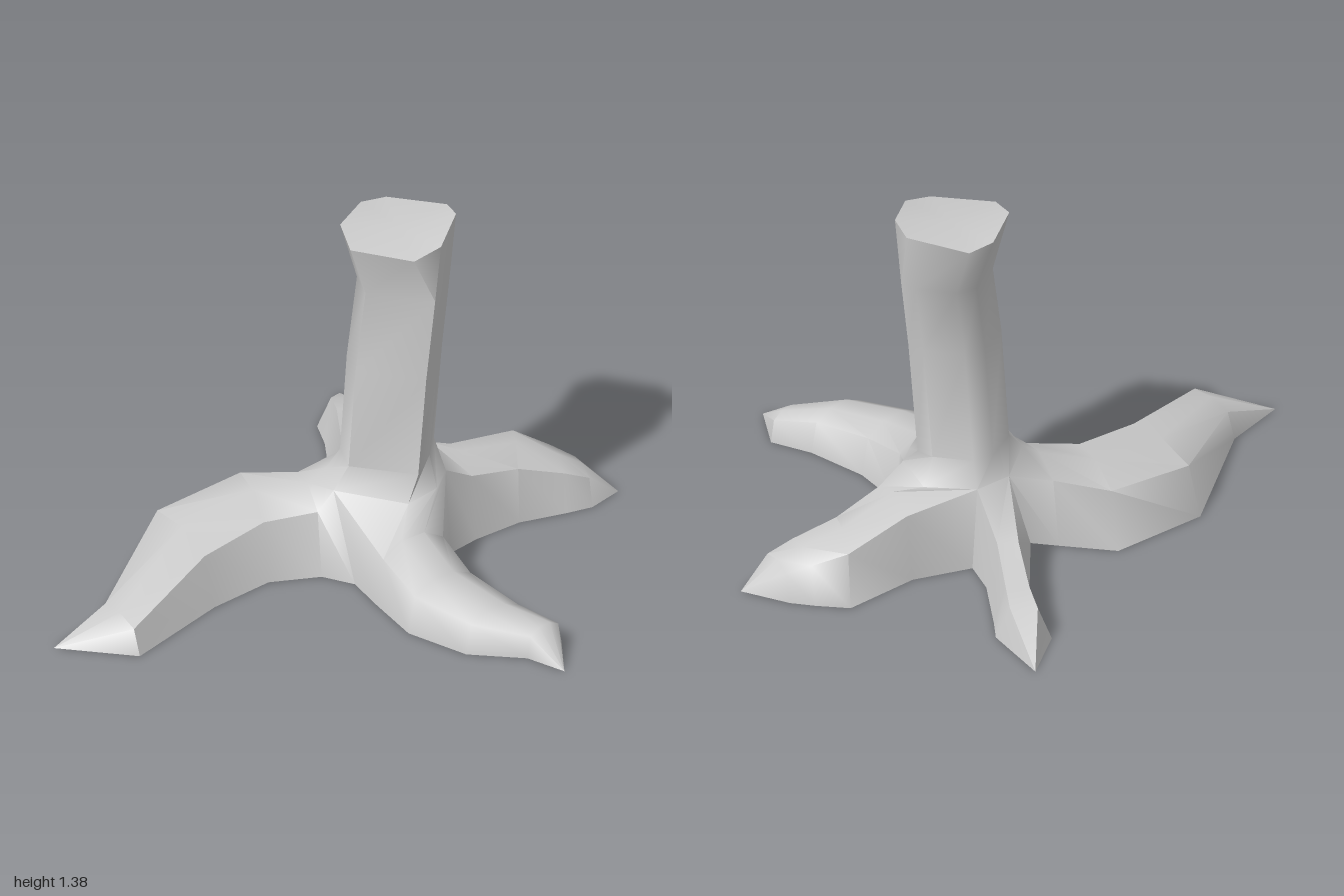
import * as THREE from 'three';
import { toCreasedNormals } from 'three/addons/utils/BufferGeometryUtils.js';

const material = new THREE.MeshStandardMaterial({ color: 0xcccccc, side: THREE.DoubleSide });
const { lerp } = THREE.MathUtils;

// Triangles between rows of points, listed from the outermost or lowest row upward
function loft(rows, closed) {
  const pos = [];
  const n = rows[0].length;
  for (let r = 0; r + 1 < rows.length; r++) {
    const lo = rows[r], hi = rows[r + 1];
    for (let i = 0; i < (closed ? n : n - 1); i++) {
      const k = (i + 1) % n;
      pos.push(...lo[k], ...lo[i], ...hi[i], ...lo[k], ...hi[i], ...hi[k]);
    }
  }
  return pos;
}

// Cut top of the trunk, clockwise from the -x side
const top = [
  [0.01, 1.36, 0.05], [0.08, 1.345, -0.12], [0.17, 1.335, -0.17], [0.39, 1.36, -0.09],
  [0.425, 1.38, 0.0], [0.375, 1.35, 0.17], [0.28, 1.325, 0.23], [0.05, 1.33, 0.17],
];

// Flared ring where the trunk meets the roots
const flare = [
  [-0.04, 0.335, 0.09], [0.02, 0.31, -0.07], [0.14, 0.31, -0.15], [0.33, 0.31, -0.12],
  [0.39, 0.31, 0.06], [0.36, 0.3, 0.16], [0.26, 0.29, 0.25], [-0.01, 0.31, 0.2],
];

// Trunk rings between: height, x range, z range, over a unit outline
const outline = [[0, 0.5], [0.2, 0.1], [0.42, 0], [0.85, 0.12], [1, 0.26], [0.96, 0.6], [0.85, 1], [0.1, 0.85]];
const rings = [
  [0.4, 0.01, 0.345, -0.1, 0.225],
  [0.83, 0.035, 0.375, -0.06, 0.255],
  [1.13, 0.07, 0.405, -0.115, 0.195],
].map(([y, x0, x1, z0, z1]) => outline.map(([u, v]) => [lerp(x0, x1, u), y, lerp(z0, z1, v)]));

// Ground points in the forks between neighbouring roots
const forks = [[-0.06, 0, -0.04], [0.16, 0, -0.19], [0.41, 0, 0.13], [0.07, 0, 0.34]];

// Each root: the flare points it joins, then sections from tip to trunk
// giving both ground edges (x, z, x, z) and the ridge height
const roots = [
  { name: 'backRoot', joins: [1, 2], sections: [
    [-0.015, -0.885, -0.015, -0.885, 0],
    [-0.09, -0.67, 0.11, -0.65, 0.135],
    [-0.06, -0.56, 0.11, -0.56, 0.16],
    [-0.035, -0.33, 0.12, -0.32, 0.2],
  ] },
  { name: 'leftRoot', joins: [2, 3, 4], sections: [
    [1, -0.28, 1, -0.28, 0],
    [0.83, -0.37, 0.91, -0.175, 0.125],
    [0.74, -0.395, 0.82, -0.135, 0.17],
    [0.615, -0.42, 0.65, -0.07, 0.23],
    [0.38, -0.25, 0.5, 0.04, 0.285],
  ] },
  { name: 'frontLeftRoot', joins: [4, 5, 6, 7], sections: [
    [0.835, 0.88, 0.835, 0.88, 0],
    [0.82, 0.69, 0.7, 0.8, 0.11],
    [0.68, 0.61, 0.48, 0.78, 0.15],
    [0.51, 0.45, 0.27, 0.65, 0.185],
    [0.41, 0.28, 0.15, 0.47, 0.235],
  ] },
  { name: 'rightRoot', joins: [7, 0, 1], sections: [
    [-1, 0.775, -1, 0.775, 0],
    [-0.69, 0.82, -0.84, 0.59, 0.11],
    [-0.43, 0.5, -0.68, 0.09, 0.21],
    [-0.24, 0.335, -0.37, -0.115, 0.25],
    [-0.05, 0.295, -0.16, -0.065, 0.285],
  ] },
];

// Rounded arch of n points from one ground edge to the other
function arch([lx, lz, rx, rz, h], n) {
  return Array.from({ length: n }, (_, i) => {
    const a = (i / (n - 1)) * Math.PI;
    const t = (1 - Math.cos(a)) / 2;
    const rise = i % (n - 1) === 0 ? 0 : Math.min(1, 1.02 * Math.sqrt(Math.sin(a)));
    return [lerp(lx, rx, t), h * rise, lerp(lz, rz, t)];
  });
}

// Shallow hollow under a root section, wound to face down
function sole([lx, lz, rx, rz, h]) {
  return [[rx, 0, rz], [(lx + rx) / 2, Math.min(0.025, h * 0.2), (lz + rz) / 2], [lx, 0, lz]];
}

export function createModel() {
  // Trunk, then each root and its underside, sharing the flare and the forks
  const parts = [['trunk', loft([flare, ...rings, top], true)]];
  const undersideCentre = [0.13, 0.02, 0.07];
  roots.forEach(({ name, joins, sections }, i) => {
    const left = forks[i], right = forks[(i + 1) % 4];
    const collar = [left, ...joins.map((j) => flare[j]), right];
    parts.push([name, loft([...sections.map((s) => arch(s, collar.length)), collar], false)]);
    parts.push([name + 'Underside', loft([...sections.map(sole), [right, undersideCentre, left]], false)]);
  });

  // Flat cut face
  const cutCentre = top.map(() => [0.22, 1.345, 0.03]);
  parts.push(['cutTop', loft([top, cutCentre], true)]);

  // Shade everything together so the bark runs smoothly from part to part
  const whole = new THREE.BufferGeometry();
  whole.setAttribute('position', new THREE.Float32BufferAttribute(parts.flatMap(([, pos]) => pos), 3));
  const shaded = toCreasedNormals(whole, 0.95);

  const group = new THREE.Group();
  group.name = 'treeStump';
  let start = 0;
  for (const [name, pos] of parts) {
    const geometry = new THREE.BufferGeometry();
    for (const key of ['position', 'normal']) {
      const values = shaded.getAttribute(key).array.slice(start, start + pos.length);
      geometry.setAttribute(key, new THREE.BufferAttribute(values, 3));
    }
    start += pos.length;
    const mesh = new THREE.Mesh(geometry, material);
    mesh.name = name;
    group.add(mesh);
  }
  return group;
}
